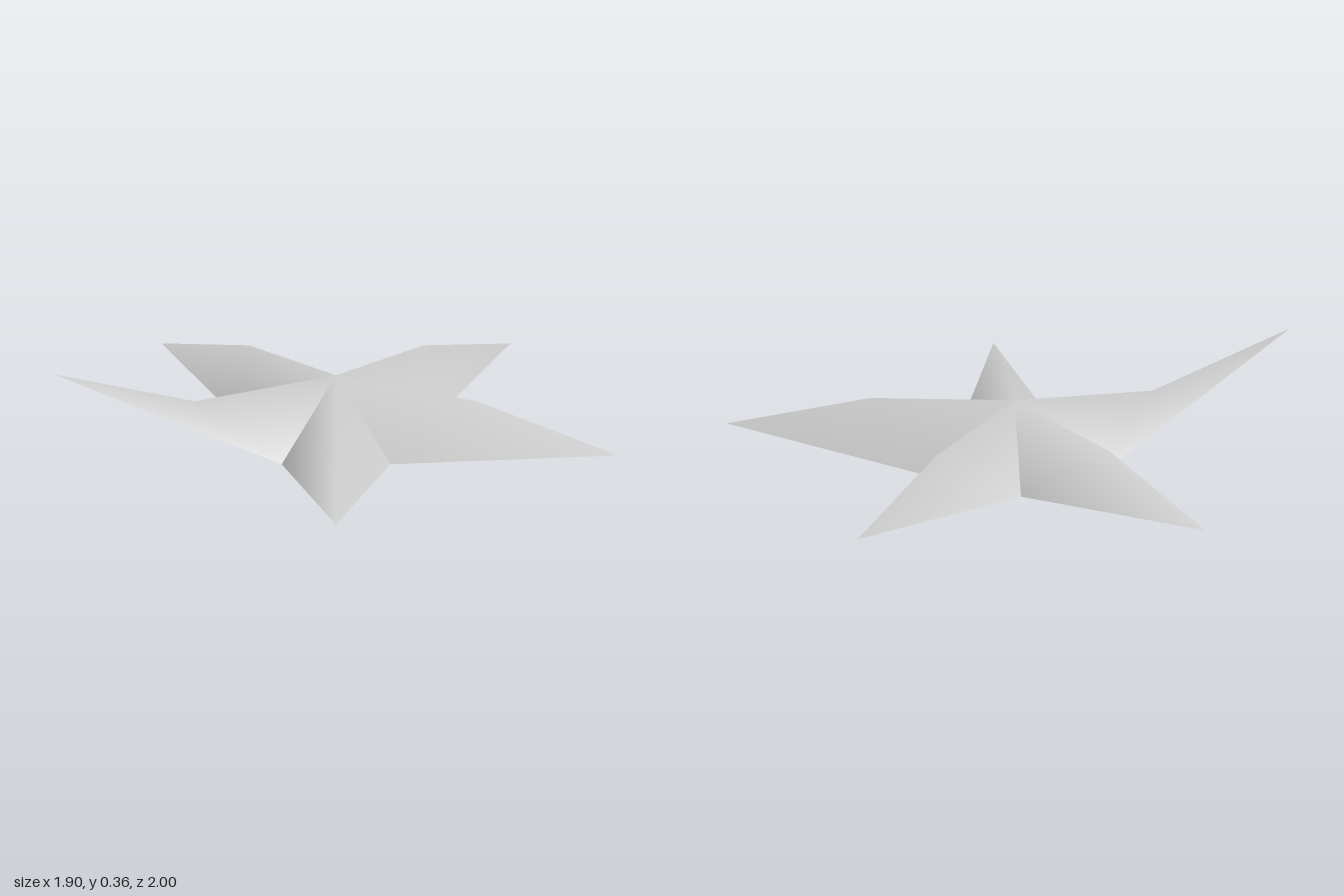
import * as THREE from 'three';

const ARMS = 5;
const TIP_R = 1.05, MID_R = 0.525, NOTCH_R = 0.327;
const APEX_Y = 0.24, MID_Y = 0.2, TIP_Y = 0.055, RAISED_Y = 0.36;

// One arm: a ridged shell from the hub to the tip, between two valley notches.
function armGeometry(angle, tipY) {
  const at = (r, a, y) => [r * Math.cos(a), y, r * Math.sin(a)];
  const half = Math.PI / ARMS;
  const points = [
    at(0, 0, APEX_Y),              // 0 hub
    at(MID_R, angle, MID_Y),       // 1 ridge bend
    at(TIP_R, angle, tipY),        // 2 tip
    at(NOTCH_R, angle + half, 0),  // 3 notch on one side
    at(NOTCH_R, angle - half, 0),  // 4 notch on the other side
  ];
  const geometry = new THREE.BufferGeometry();
  geometry.setAttribute('position', new THREE.Float32BufferAttribute(points.flat(), 3));
  geometry.setIndex([0, 3, 1, 1, 3, 2, 0, 1, 4, 1, 2, 4]);
  geometry.computeVertexNormals(); // soft along the ridge, sharp in the valleys
  return geometry;
}

export function createModel() {
  const group = new THREE.Group();
  group.name = 'star';
  const lightGrey = new THREE.MeshStandardMaterial({ color: 0xcccccc, side: THREE.DoubleSide });
  lightGrey.name = 'lightGrey';

  for (let i = 0; i < ARMS; i++) {
    const raised = i === 3; // the back arm with the curled-up tip
    const arm = new THREE.Mesh(
      armGeometry((i * 2 * Math.PI) / ARMS, raised ? RAISED_Y : TIP_Y), lightGrey);
    arm.name = raised ? 'raisedArm' : `arm${i + 1}`;
    arm.position.x = -0.1;
    group.add(arm);
  }
  return group;
}
